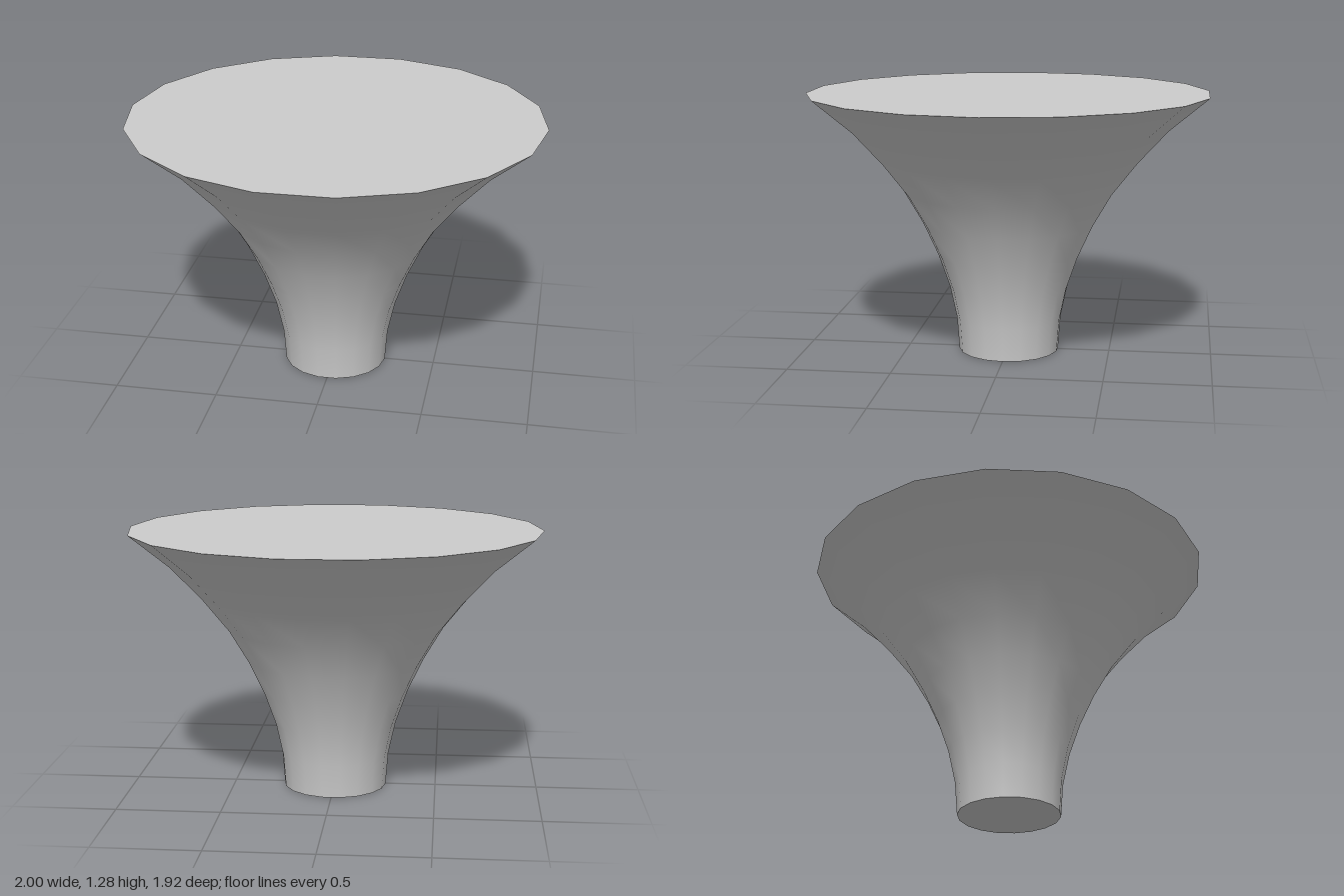
import * as THREE from 'three';

const SIDES = 18;
const HEIGHT = 1.28;
const DEPTH_SCALE = 0.975; // slightly oval in plan

// Radii of evenly spaced rings, bottom to top
const RADII = [0.253, 0.265, 0.3, 0.357, 0.432, 0.527, 0.655, 0.805, 1];

export function createModel() {
  const group = new THREE.Group();
  group.name = 'flaredPedestal';
  const material = new THREE.MeshStandardMaterial({ color: 0xcccccc });

  const add = (name, geometry) => {
    geometry.scale(1, 1, DEPTH_SCALE);
    const mesh = new THREE.Mesh(geometry, material);
    mesh.name = name;
    group.add(mesh);
  };

  // Smooth flared wall, with a corner on the x axis
  const profile = RADII.map((r, i) => new THREE.Vector2(r, (HEIGHT * i) / (RADII.length - 1)));
  add('flaredWall', new THREE.LatheGeometry(profile, SIDES).rotateY(Math.PI / 2));

  // Flat faces closing both ends
  add('topFace', new THREE.CircleGeometry(RADII[RADII.length - 1], SIDES)
    .rotateX(-Math.PI / 2).translate(0, HEIGHT, 0));
  add('bottomFace', new THREE.CircleGeometry(RADII[0], SIDES).rotateX(Math.PI / 2));

  return group;
}
